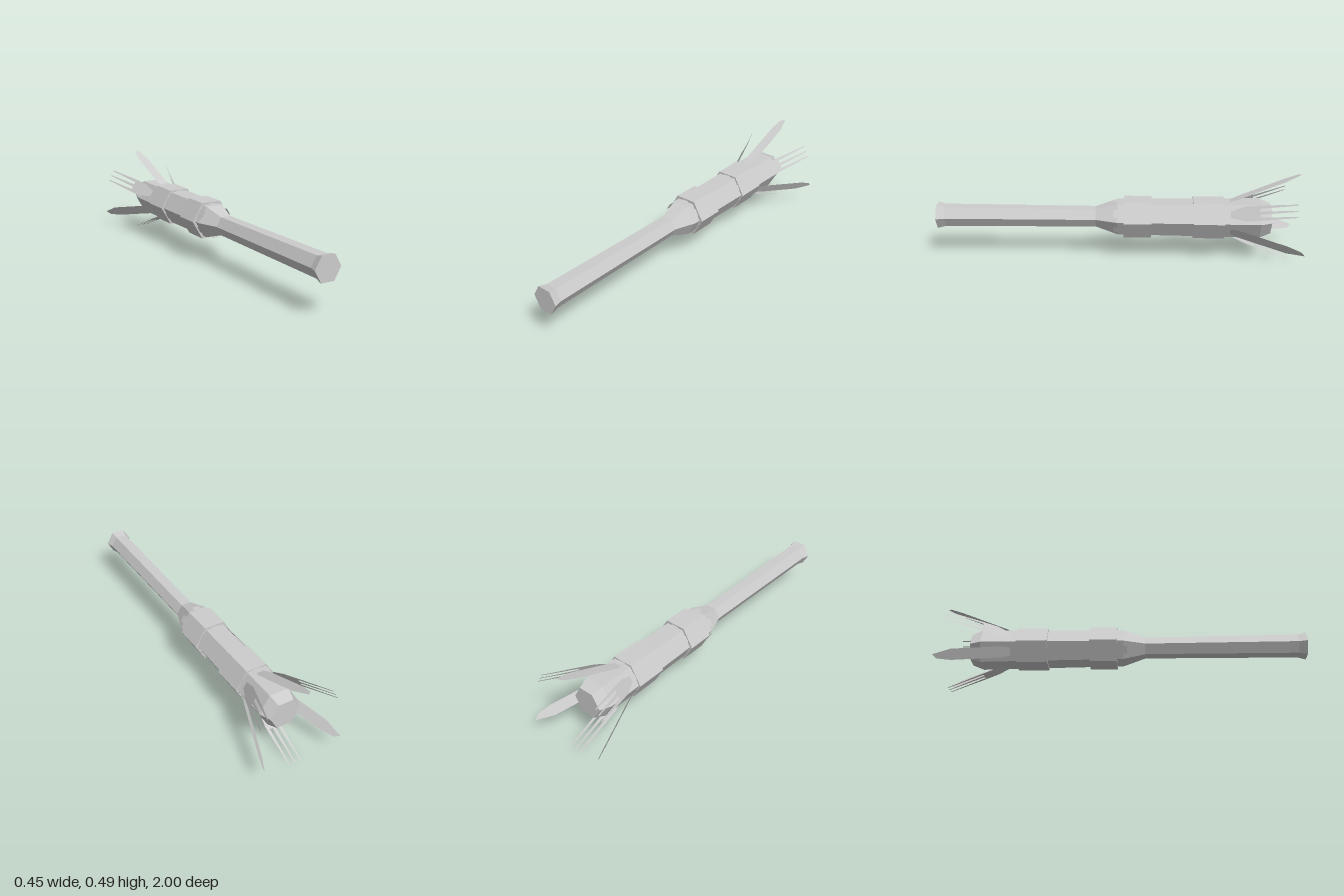
import * as THREE from 'three';

const AXIS = 0.2365; // height of the bat's long axis

const steel = new THREE.MeshStandardMaterial({ color: 0xcccccc, flatShading: true, side: THREE.DoubleSide });
steel.name = 'plain grey';

// Six-sided solid turned around the z axis, from [radius, z] pairs
function hexTurned(name, profile) {
  const points = profile.map(([r, z]) => new THREE.Vector2(r, z));
  const lathe = new THREE.LatheGeometry(points, 6, Math.PI / 2);
  lathe.rotateX(Math.PI / 2);
  const geometry = lathe.toNonIndexed();
  geometry.computeVertexNormals();
  const mesh = new THREE.Mesh(geometry, steel);
  mesh.name = name;
  mesh.position.y = AXIS;
  return mesh;
}

// Thin sheet from [x, distance back] points; rise(d) gives its distance from the axis
function sheet(name, outline, rise) {
  const shape = new THREE.Shape(outline.map(([x, d]) => new THREE.Vector2(x, d)));
  const geometry = new THREE.ShapeGeometry(shape);
  const p = geometry.attributes.position;
  for (let i = 0; i < p.count; i++) {
    const d = p.getY(i);
    p.setXYZ(i, p.getX(i), rise(d), -d);
  }
  geometry.computeVertexNormals();
  const mesh = new THREE.Mesh(geometry, steel);
  mesh.name = name;
  return mesh;
}

const BEND = 0.615;
const handleRise = (d) => 0.0925 + 0.0095 * d;
const headRise = (d) => handleRise(BEND) + 0.41 * (d - BEND);

function makeKnife() {
  const knife = new THREE.Group();
  knife.name = 'knife';
  knife.add(
    sheet('knifeHandle', [[-0.02, -0.02], [0.02, -0.02], [0.02, BEND], [-0.02, BEND]], handleRise),
    sheet('knifeBlade', [
      [-0.02, BEND], [0.02, BEND], [0.03, 0.65], [0.03, 0.91],
      [0.005, 1], [-0.018, 0.98], [-0.03, 0.91], [-0.03, 0.65],
    ], headRise),
  );
  return knife;
}

function makeFork() {
  const fork = new THREE.Group();
  fork.name = 'fork';
  // Shoulders, then three tapering tines from right to left
  const head = [[-0.018, BEND], [0.018, BEND], [0.041, 0.69]];
  for (const side of [1, 0, -1]) {
    const root = side * 0.0325, tip = side * 0.0325;
    head.push([root + 0.0085, 0.762], [tip + 0.003, 0.95], [tip - 0.003, 0.95], [root - 0.0085, 0.762]);
  }
  head.push([-0.041, 0.69]);
  fork.add(
    sheet('forkHandle', [
      [-0.02, -0.02], [0.02, -0.02], [0.018, 0.33], [0.011, 0.34], [0.018, BEND],
      [-0.018, BEND], [-0.011, 0.34], [-0.018, 0.33],
    ], handleRise),
    sheet('forkHead', head, headRise),
  );
  return fork;
}

export function createModel() {
  const model = new THREE.Group();
  model.name = 'cutleryBat';

  // Bat: bevelled end, barrel, neck, grip and flared knob
  model.add(hexTurned('bat', [
    [0, -0.84], [0.085, -0.84], [0.11, -0.78], [0.1, 0],
    [0.058, 0.12], [0.063, 0.955], [0.075, 1], [0, 1],
  ]));

  // Wrapped bands holding the cutlery
  for (const [name, back, front] of [['frontBand', -0.185, -0.035], ['rearBand', -0.585, -0.415]]) {
    model.add(hexTurned(name, [[0.095, back], [0.117, back], [0.117, front], [0.095, front]]));
  }

  // Knives and forks alternate around the six faces
  for (let k = 0; k < 6; k++) {
    const tool = k % 2 ? makeFork() : makeKnife();
    tool.position.y = AXIS;
    tool.rotation.z = -k * Math.PI / 3;
    model.add(tool);
  }
  return model;
}
